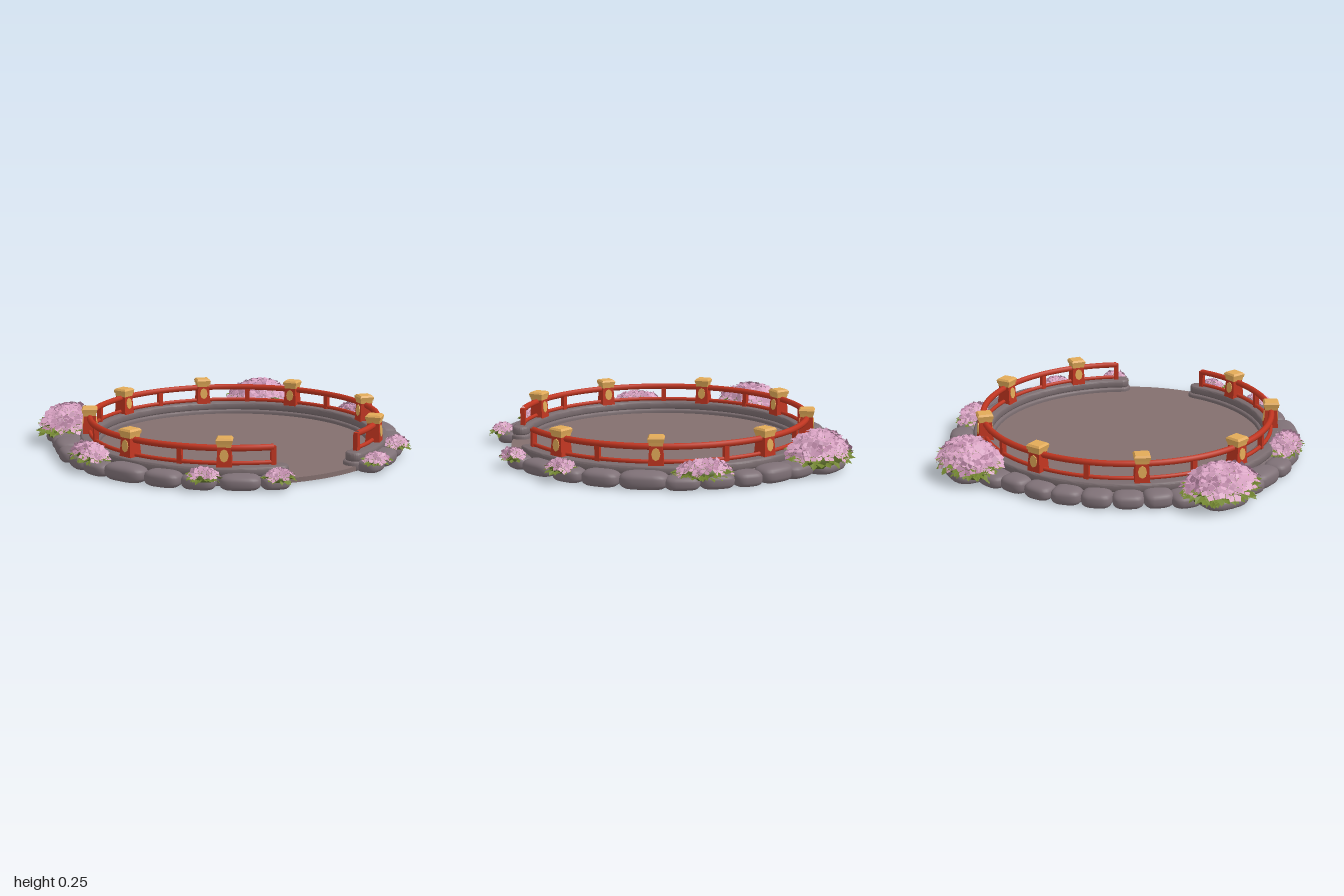
import * as THREE from 'three';
import { mergeGeometries, mergeVertices, toCreasedNormals } from 'three/addons/utils/BufferGeometryUtils.js';

const mat = (name, color, side = THREE.FrontSide) => {
  const m = new THREE.MeshStandardMaterial({ color, side });
  m.name = name;
  return m;
};
const M = {
  floor: mat('floor stone', 0x836f6e),
  kerb: mat('kerb stone', 0x7a6c6f),
  stone: mat('border stone', 0x7f7177),
  red: mat('red lacquer', 0xc03520),
  gold: mat('gold', 0xe2aa58),
  pink: mat('pink petals', 0xd8a2c2, THREE.DoubleSide),
  mauve: mat('mauve petals', 0xbd88a8, THREE.DoubleSide),
  leaf: mat('leaf green', 0x718430, THREE.DoubleSide),
  core: mat('dark foliage', 0x5a6a28),
};
const RAIL = 0.8;
const rad = THREE.MathUtils.degToRad;

let seed = 7;
const rnd = () => (seed = (seed * 16807) % 2147483647) / 2147483647;

function add(parent, name, geo, material, x = 0, y = 0, z = 0) {
  const m = new THREE.Mesh(geo, material);
  m.name = name;
  m.position.set(x, y, z);
  parent.add(m);
  return m;
}

// Group on the ring: local +z points outward, local x runs along the ring
function onRing(parent, name, deg, r) {
  const g = new THREE.Group(), a = rad(deg);
  g.name = name;
  g.position.set(r * Math.sin(a), 0, r * Math.cos(a));
  g.rotation.y = a;
  parent.add(g);
  return g;
}

// Kerb slab: open ring with round ends and softened edges
function kerbSlab(ri, ro, y0, h) {
  const rm = (ri + ro) / 2, cap = (ro - ri) / 2, b = 0.01;
  const a0 = rad(-90 + 17.5), a1 = rad(270 - 17.5);
  const s = new THREE.Shape();
  s.absarc(0, 0, ro, a0, a1, false);
  s.absarc(rm * Math.cos(a1), rm * Math.sin(a1), cap, a1, a1 + Math.PI, false);
  s.absarc(0, 0, ri, a1, a0, true);
  s.absarc(rm * Math.cos(a0), rm * Math.sin(a0), cap, a0 + Math.PI, a0 + Math.PI * 2, false);
  const g = new THREE.ExtrudeGeometry(s, {
    depth: h - 2 * b, curveSegments: 72, bevelSize: b, bevelThickness: b, bevelSegments: 2,
  });
  g.rotateX(-Math.PI / 2).translate(0, y0 + b, 0);
  return toCreasedNormals(g, 0.9);
}

// Boulder: sphere squared off, with a flat underside on the ground
function stoneGeometry(len, width, h) {
  const g = new THREE.SphereGeometry(1, 24, 16);
  const p = g.attributes.position;
  const sq = (v, e) => Math.sign(v) * Math.abs(v) ** e;
  const skew = (rnd() - 0.5) * 0.24;
  for (let i = 0; i < p.count; i++) {
    const x = sq(p.getX(i), 0.65), y = sq(p.getY(i), 0.7), z = sq(p.getZ(i), 0.7);
    p.setXYZ(i, x * len / 2, Math.max(0, h * (0.45 + 0.55 * y)), z * width / 2 * (1 + skew * x));
  }
  g.deleteAttribute('uv');
  g.deleteAttribute('normal');
  const m = mergeVertices(g, 1e-5);
  m.computeVertexNormals();
  return m;
}

function railArc(deg, r, y, thick) {
  const pts = [];
  for (let i = 0; i <= 48; i++) {
    const a = rad(deg + (360 - 2 * deg) * i / 48);
    pts.push(new THREE.Vector3(r * Math.sin(a), y, r * Math.cos(a)));
  }
  return new THREE.TubeGeometry(new THREE.CatmullRomCurve3(pts), 120, thick, 8);
}

// Four-sided tapered block with flat faces
function block(top, bottom, h) {
  const k = Math.SQRT1_2;
  const g = new THREE.CylinderGeometry(top * k, bottom * k, h, 4).rotateY(Math.PI / 4).toNonIndexed();
  g.computeVertexNormals();
  return g;
}

function post(parent, deg) {
  const g = onRing(parent, 'post', deg, RAIL);
  add(g, 'postBody', block(0.066, 0.08, 0.11), M.red, 0, 0.15, 0);
  add(g, 'capNeck', block(0.074, 0.07, 0.018), M.gold, 0, 0.209, 0);
  add(g, 'cap', block(0.086, 0.08, 0.018), M.gold, 0, 0.227, 0);
  add(g, 'capTop', block(0.07, 0.086, 0.01), M.gold, 0, 0.241, 0);
  for (const s of [1, -1]) {
    const disc = new THREE.CylinderGeometry(0.023, 0.023, 0.006, 8).rotateX(Math.PI / 2).scale(1, 1.45, 1);
    add(g, 'postOrnament', disc, M.gold, 0, 0.158, s * 0.0372).rotation.x = -s * 0.064;
  }
}

// Five flat petals, each tilted up a little, facing +z
function bloom(r) {
  const v = [];
  for (let i = 0; i < 5; i++) {
    const at = (da, q, z) => {
      const a = i * Math.PI * 0.4 + da;
      return [q * r * Math.cos(a), q * r * Math.sin(a), z * r];
    };
    const c = [0, 0, 0], l = at(-0.56, 0.76, 0.2), t = at(0, 1, 0.31), k = at(0.56, 0.76, 0.2);
    v.push(...c, ...l, ...t, ...c, ...t, ...k);
  }
  const g = new THREE.BufferGeometry();
  g.setAttribute('position', new THREE.Float32BufferAttribute(v, 3));
  g.computeVertexNormals();
  return g;
}

// Pointed leaf growing along +z
function leafBlade(l) {
  const w = l * 0.36, d = l * 0.05;
  const v = [0, 0, 0, -w, d, l * 0.45, 0, 0, l, 0, 0, 0, 0, 0, l, w, d, l * 0.45];
  const g = new THREE.BufferGeometry();
  g.setAttribute('position', new THREE.Float32BufferAttribute(v, 3));
  g.computeVertexNormals();
  return g;
}

// Flowering bush: low mound, blooms over the top, a leafy skirt below them
function bush(parent, deg, r, rx, rz, base, ry, blooms, size) {
  const g = onRing(parent, 'floweringBush', deg, r);
  const dome = new THREE.SphereGeometry(1, 16, 8, 0, Math.PI * 2, 0, Math.PI * 0.6);
  add(g, 'foliageCore', dome.scale(rx * 0.8, ry * 0.74, rz * 0.8), M.core, 0, base, 0);
  const o = new THREE.Object3D(), petals = [[], []], leaves = [];
  const place = (geo, a, c, k, tilt, spin) => {
    const s = Math.sqrt(1 - c * c), dx = s * Math.cos(a), dz = s * Math.sin(a);
    o.position.set(dx * rx * k, base + c ** 1.25 * ry * k, dz * rz * k);
    o.lookAt(o.position.x + dx, o.position.y + c + tilt, o.position.z + dz);
    o.rotateZ(spin);
    o.updateMatrix();
    return geo.applyMatrix4(o.matrix);
  };
  for (let i = 0; i < blooms; i++) {
    const c = 1 - 0.68 * (i + 0.5) / blooms;
    const geo = bloom(size * (0.85 + 0.35 * rnd()));
    petals[i % 4 === 3 ? 1 : 0].push(
      place(geo, i * 2.39996, c, 0.84 + 0.15 * rnd(), 0.6 * (rnd() - 0.1), rnd() * 6.28));
  }
  for (let i = 0; i < blooms * 1.6; i++) {
    const geo = leafBlade(size * (1 + 0.5 * rnd()));
    leaves.push(place(geo, i * 2.39996, 0.45 * rnd(), 0.8, -0.75 + 0.75 * rnd(), rnd() - 0.5));
  }
  add(g, 'pinkBlooms', mergeGeometries(petals[0]), M.pink);
  add(g, 'mauveBlooms', mergeGeometries(petals[1]), M.mauve);
  add(g, 'leaves', mergeGeometries(leaves), M.leaf);
}

export function createModel() {
  const model = new THREE.Group();
  model.name = 'roundTerrace';

  add(model, 'floor', new THREE.CylinderGeometry(0.845, 0.845, 0.025, 96), M.floor, 0, 0.0205, 0);
  add(model, 'kerbBase', kerbSlab(0.758, 0.85, 0.006, 0.05), M.kerb);
  add(model, 'kerbTop', kerbSlab(0.77, 0.845, 0.054, 0.046), M.kerb);

  // Handrail, lower rail and the baluster at the back
  add(model, 'topRail', railArc(19.6, RAIL, 0.19, 0.017), M.red);
  add(model, 'lowerRail', railArc(19.6, RAIL, 0.112, 0.011), M.red);
  const baluster = (deg) =>
    add(onRing(model, 'baluster', deg, RAIL), 'balusterBar', new THREE.BoxGeometry(0.026, 0.098, 0.026), M.red, 0, 0.147, 0);
  baluster(180);

  // Border stones: angle, radius, length, width, height
  const stones = [
    [175, 0.885, 0.16, 0.14, 0.08], [164.8, 0.885, 0.16, 0.135, 0.075], [155, 0.885, 0.155, 0.14, 0.08],
    [146.5, 0.91, 0.16, 0.16, 0.07], [136, 0.98, 0.26, 0.22, 0.07], [125, 0.93, 0.2, 0.17, 0.075],
    [116, 0.925, 0.21, 0.14, 0.085], [105.5, 0.925, 0.15, 0.13, 0.075], [95.5, 0.91, 0.18, 0.13, 0.075],
    [84.5, 0.905, 0.18, 0.13, 0.07], [72.3, 0.885, 0.25, 0.14, 0.085], [57.8, 0.88, 0.2, 0.13, 0.08],
    [45.5, 0.875, 0.18, 0.13, 0.075], [32, 0.87, 0.21, 0.14, 0.075], [20.5, 0.88, 0.15, 0.13, 0.07],
  ];
  for (const s of [1, -1]) {
    for (const [a, r, len, w, h] of stones)
      add(onRing(model, 'borderStone', s * a, r), 'boulder', stoneGeometry(len, w, h), M.stone);
    for (const a of [37.4, 76, 119.6, 159.9]) post(model, s * a);
    for (const a of [19.6, 54, 102, 140]) baluster(s * a);
    bush(model, s * 136, 0.965, 0.215, 0.155, 0.07, 0.135, 75, 0.044);
    bush(model, s * 91.5, 0.897, 0.155, 0.076, 0.065, 0.075, 32, 0.036);
    bush(model, s * 43.5, 0.905, 0.08, 0.066, 0.06, 0.048, 18, 0.03);
    bush(model, s * 20, 0.92, 0.074, 0.06, 0.057, 0.045, 16, 0.029);
  }
  return model;
}
